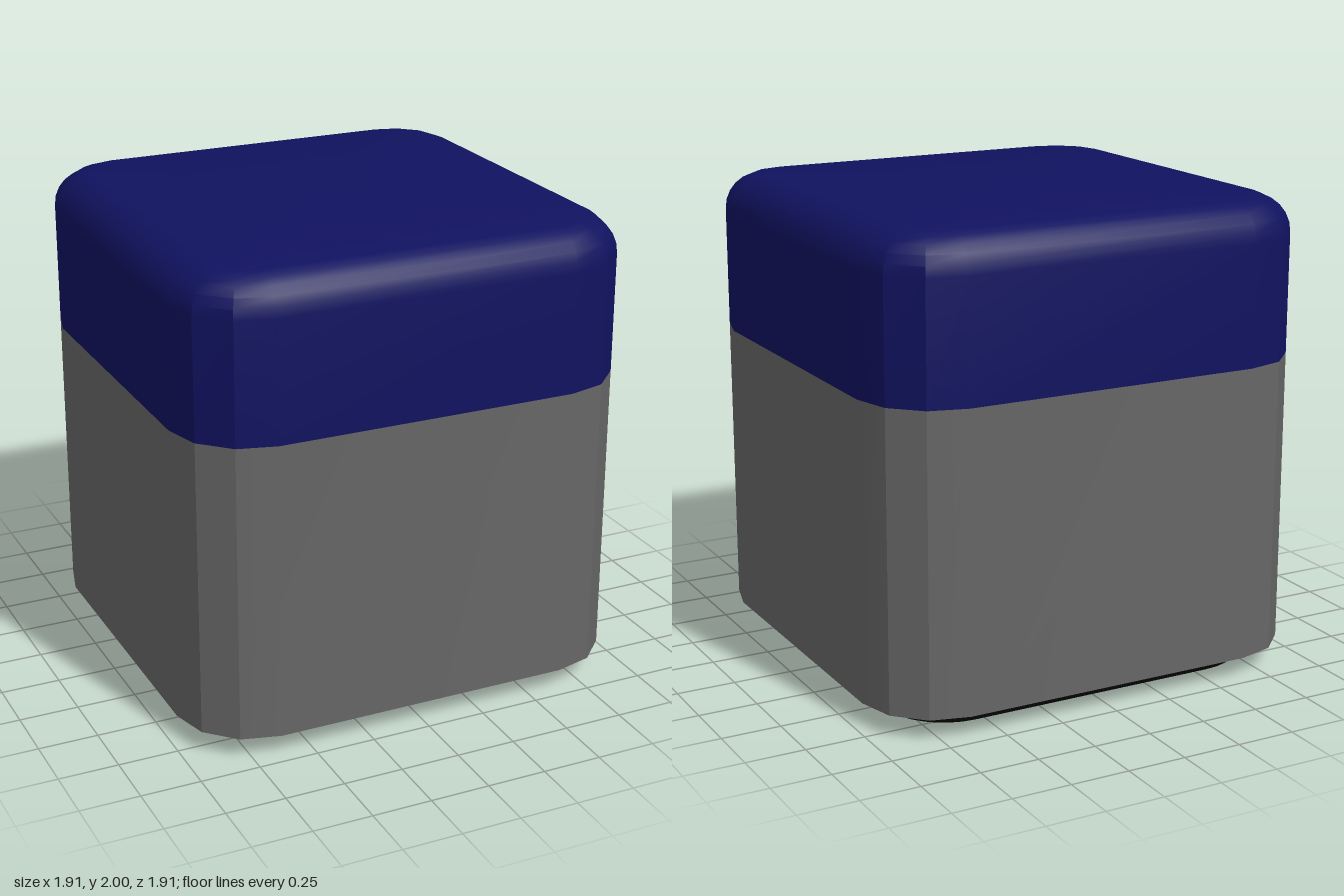
import * as THREE from 'three';
import { toCreasedNormals } from 'three/addons/utils/BufferGeometryUtils.js';

// Outline of a square with rounded corners, in the ground plane
function outline(half, radius, segments) {
  const points = [];
  for (let corner = 0; corner < 4; corner++) {
    for (let i = 0; i <= segments; i++) {
      const a = (corner + i / segments) * Math.PI / 2;
      const m = (corner + 0.5) * Math.PI / 2;
      const c = (half - radius) * Math.SQRT2;
      points.push([c * Math.cos(m) + radius * Math.cos(a), c * Math.sin(m) + radius * Math.sin(a)]);
    }
  }
  return points;
}

// Skin a list of [inset, y] levels; the first or last level may be closed with a flat cap
function loft(levels, { half, radius, segments, capStart = false, capEnd = false, crease = 0.5 }) {
  const position = [], index = [];
  const n = 4 * (segments + 1);
  for (const [inset, y] of levels) {
    for (const [x, z] of outline(half - inset, radius - inset, segments)) position.push(x, y, z);
  }
  const start = position.length / 3, end = start + 1;
  position.push(0, levels[0][1], 0, 0, levels[levels.length - 1][1], 0);
  const top = (levels.length - 1) * n;
  for (let i = 0; i < n; i++) {
    const j = (i + 1) % n;
    for (let k = 0; k < top; k += n) {
      index.push(k + i, k + n + i, k + j, k + j, k + n + i, k + n + j);
    }
    if (capStart) index.push(start, i, j);
    if (capEnd) index.push(end, top + j, top + i);
  }
  const geometry = new THREE.BufferGeometry();
  geometry.setAttribute('position', new THREE.Float32BufferAttribute(position, 3));
  geometry.setIndex(index);
  return toCreasedNormals(geometry, crease);
}

// Quarter-round edge as [inset, y] levels, from the side wall up to the flat top
function roundedEdge(radius, topY, steps) {
  return Array.from({ length: steps + 1 }, (_, i) => {
    const a = (i / steps) * Math.PI / 2;
    return [radius * (1 - Math.cos(a)), topY - radius + radius * Math.sin(a)];
  });
}

export function createModel() {
  const group = new THREE.Group();
  const blue = new THREE.MeshStandardMaterial({ color: 0x10125f });
  const grey = new THREE.MeshStandardMaterial({ color: 0x666666 });
  const black = new THREE.MeshStandardMaterial({ color: 0x080808 });
  const body = { half: 0.957, radius: 0.32, segments: 3 };
  const bottomY = 0.09, seamY = 1.335;

  const add = (name, geometry, material) => {
    const mesh = new THREE.Mesh(geometry, material);
    mesh.name = name;
    group.add(mesh);
  };

  // Upper shell with a softly rounded top edge
  add('lid', loft([[0, seamY], ...roundedEdge(0.16, 2, 6)], { ...body, capEnd: true }), blue);

  // Faceted lower sleeve
  add('sleeve', loft([[0, bottomY], [0, seamY]], body), grey);

  // Underside rim with a shallow recess for the foot
  add('underside', loft([[0.06, 0.2], [0.06, bottomY], [0, bottomY]], { ...body, capStart: true }), blue);

  // Foot with a rounded bottom edge, seated in the recess
  const footEdge = roundedEdge(0.05, 0, 5).map(([inset, y]) => [inset, -y]).reverse();
  add('foot', loft([...footEdge, [0, 0.2]],
    { half: 0.845, radius: 0.3, segments: 8, capStart: true }), black);

  return group;
}
